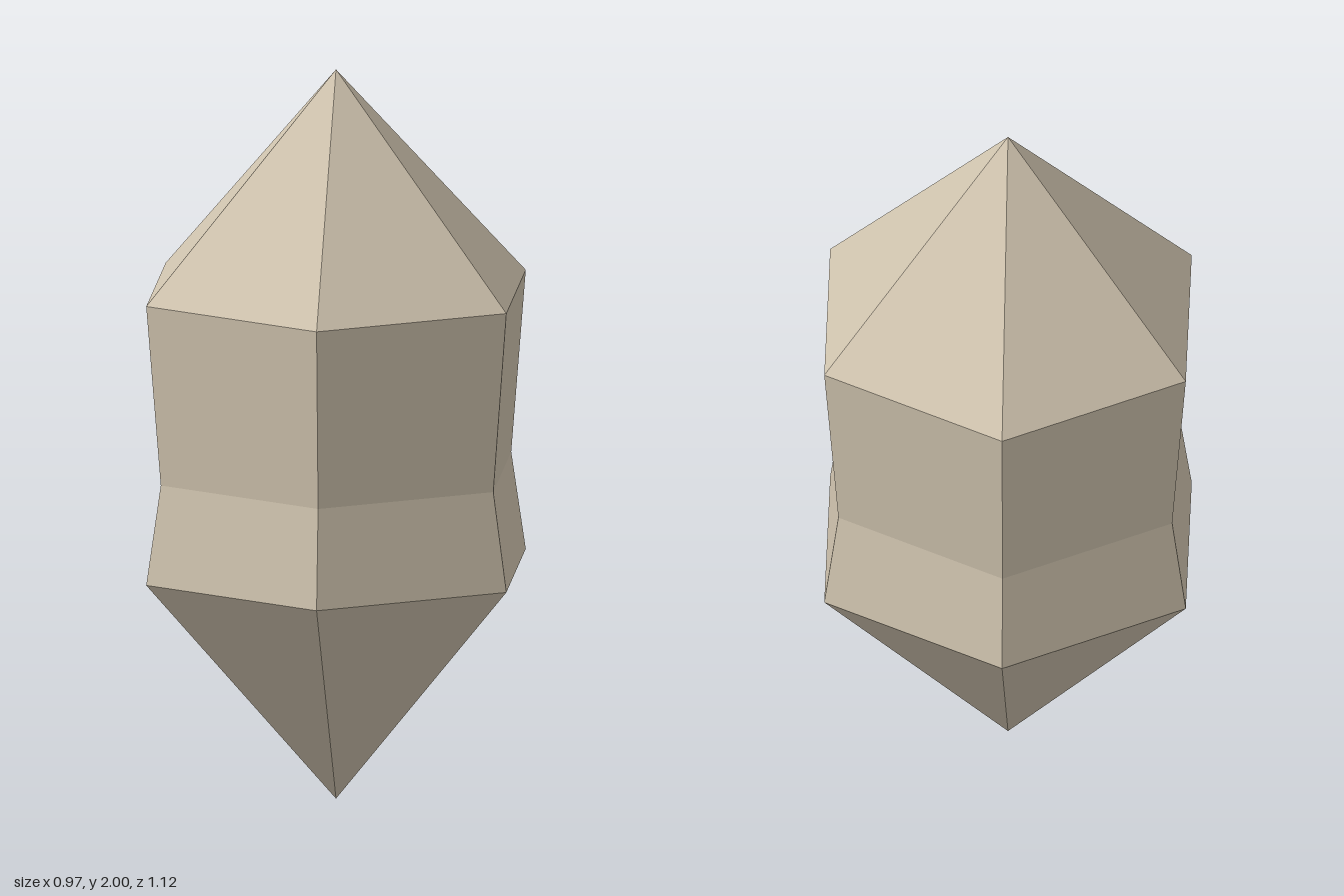
import * as THREE from 'three';

const SIDES = 6;

// Open six-sided band between two heights, with flat faces
function band(name, y0, r0, y1, r1, material) {
  const smooth = new THREE.CylinderGeometry(r1, r0, y1 - y0, SIDES, 1, true);
  const geometry = smooth.toNonIndexed();
  geometry.computeVertexNormals();
  geometry.translate(0, (y0 + y1) / 2, 0);
  const mesh = new THREE.Mesh(geometry, material);
  mesh.name = name;
  return mesh;
}

export function createModel() {
  const group = new THREE.Group();
  group.name = 'crystal';
  const stone = new THREE.MeshStandardMaterial({ color: 0xcfc3ae });
  stone.name = 'pale stone';

  // Pointed ends joined by a body with a slight waist
  group.add(
    band('lowerPoint', 0, 0, 0.635, 0.56, stone),
    band('lowerBody', 0.635, 0.56, 0.905, 0.517, stone),
    band('upperBody', 0.905, 0.517, 1.4, 0.56, stone),
    band('upperPoint', 1.4, 0.56, 2, 0, stone),
  );
  return group;
}
